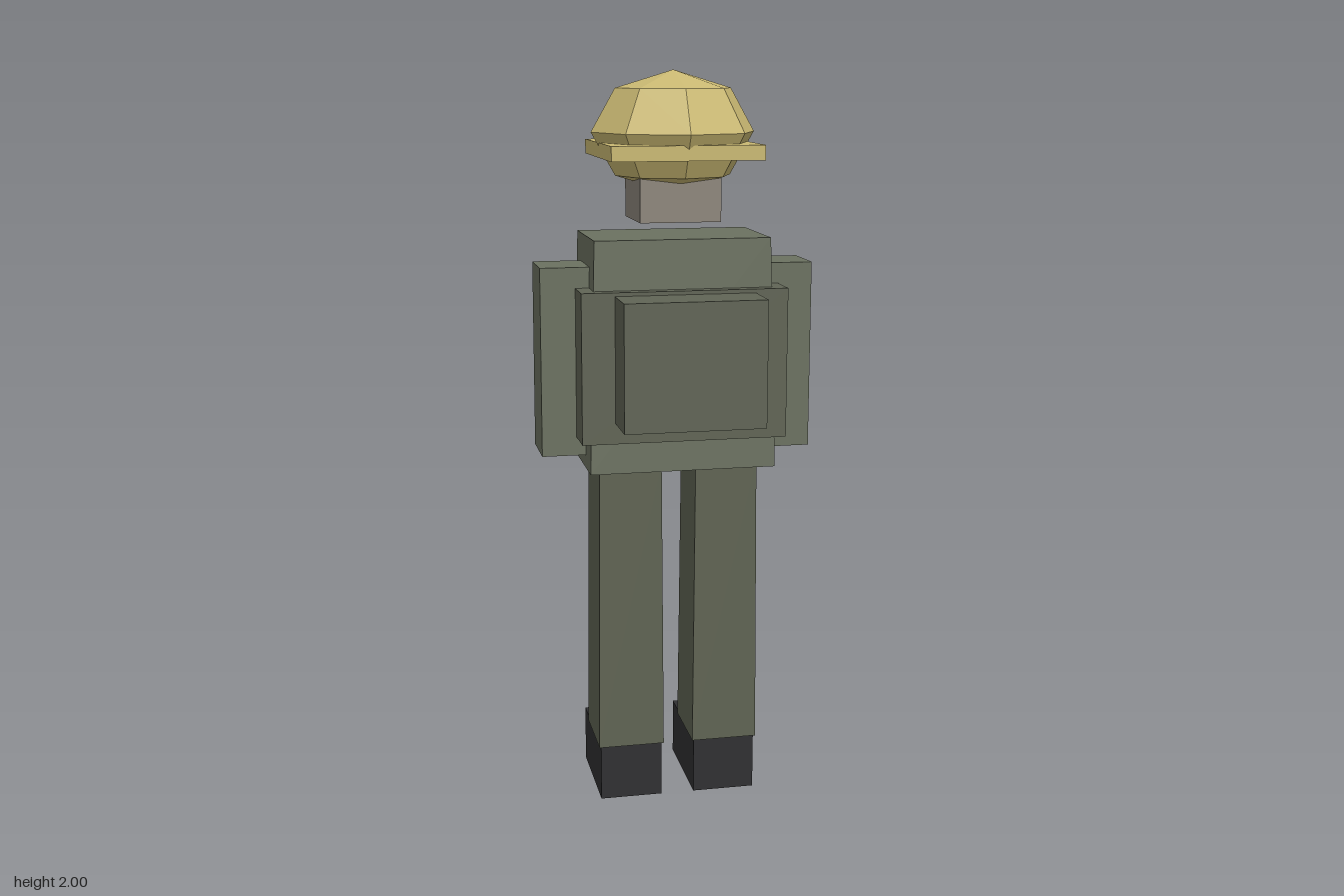
import * as THREE from 'three';

const mat = (color) => new THREE.MeshStandardMaterial({ color, flatShading: true });

export function createModel() {
  const model = new THREE.Group();
  model.name = 'soldierFigure';

  const cloth = mat(0x6b7160);
  const vestCloth = mat(0x606455);
  const trouser = mat(0x5f6353);
  const skin = mat(0x8c857a);
  const leather = mat(0x303032);
  const metal = mat(0x54585d);
  const straw = mat(0xc9b872);

  // Box given by its [min, max] range on each axis; flare widens the bottom.
  function block(name, material, [x0, x1], [y0, y1], [z0, z1], flare = 0) {
    const w = x1 - x0, d = z1 - z0;
    const geo = new THREE.BoxGeometry(w, y1 - y0, d);
    const p = geo.attributes.position;
    for (let i = 0; i < p.count; i++) {
      if (p.getY(i) > 0) continue;
      p.setX(i, p.getX(i) + Math.sign(p.getX(i)) * flare);
      p.setZ(i, p.getZ(i) + Math.sign(p.getZ(i)) * flare);
    }
    geo.computeVertexNormals();
    const mesh = new THREE.Mesh(geo, material);
    mesh.name = name;
    mesh.position.set((x0 + x1) / 2, (y0 + y1) / 2, (z0 + z1) / 2);
    model.add(mesh);
    return mesh;
  }

  // Trunk
  block('torso', cloth, [-0.235, 0.235], [0.955, 1.57], [0.155, 0.438], 0.016);
  block('vest', vestCloth, [-0.275, 0.275], [1.04, 1.44], [0.118, 0.472]);
  block('backpack', vestCloth, [-0.187, 0.187], [1.095, 1.43], [0.44, 0.603]);

  // Limbs, mirrored
  for (const [side, s] of [['left', 1], ['right', -1]]) {
    const range = (a, b) => (s > 0 ? [a, b] : [-b, -a]);
    block(side + 'Arm', cloth, range(0.23, 0.368), [0.99, 1.495], [0.217, 0.37]);
    block(side + 'Leg', trouser, range(0.047, 0.217), [0.155, 0.96], [0.203, 0.39], 0.006);
    block(side + 'Boot', leather, range(0.046, 0.218), [0, 0.157], [0.109, 0.391]);
  }

  // Head
  block('head', skin, [-0.108, 0.108], [1.61, 1.83], [0.19, 0.405]);

  // Hat: faceted crown over a square brim
  const crown = new THREE.Mesh(new THREE.SphereGeometry(0.22, 8, 4), straw);
  crown.name = 'hatCrown';
  crown.scale.y = 0.16 / 0.22;
  crown.position.set(0, 1.84, 0.303);
  model.add(crown);
  block('hatBrim', straw, [-0.2, 0.2], [1.774, 1.813], [0.083, 0.502]);

  // Gun held out in front of the chest
  block('gunBarrel', metal, [0.049, 0.126], [1.188, 1.296], [-0.602, 0.14]);
  block('gunGrip', metal, [0.052, 0.123], [1.045, 1.2], [-0.087, 0.019]);

  return model;
}
